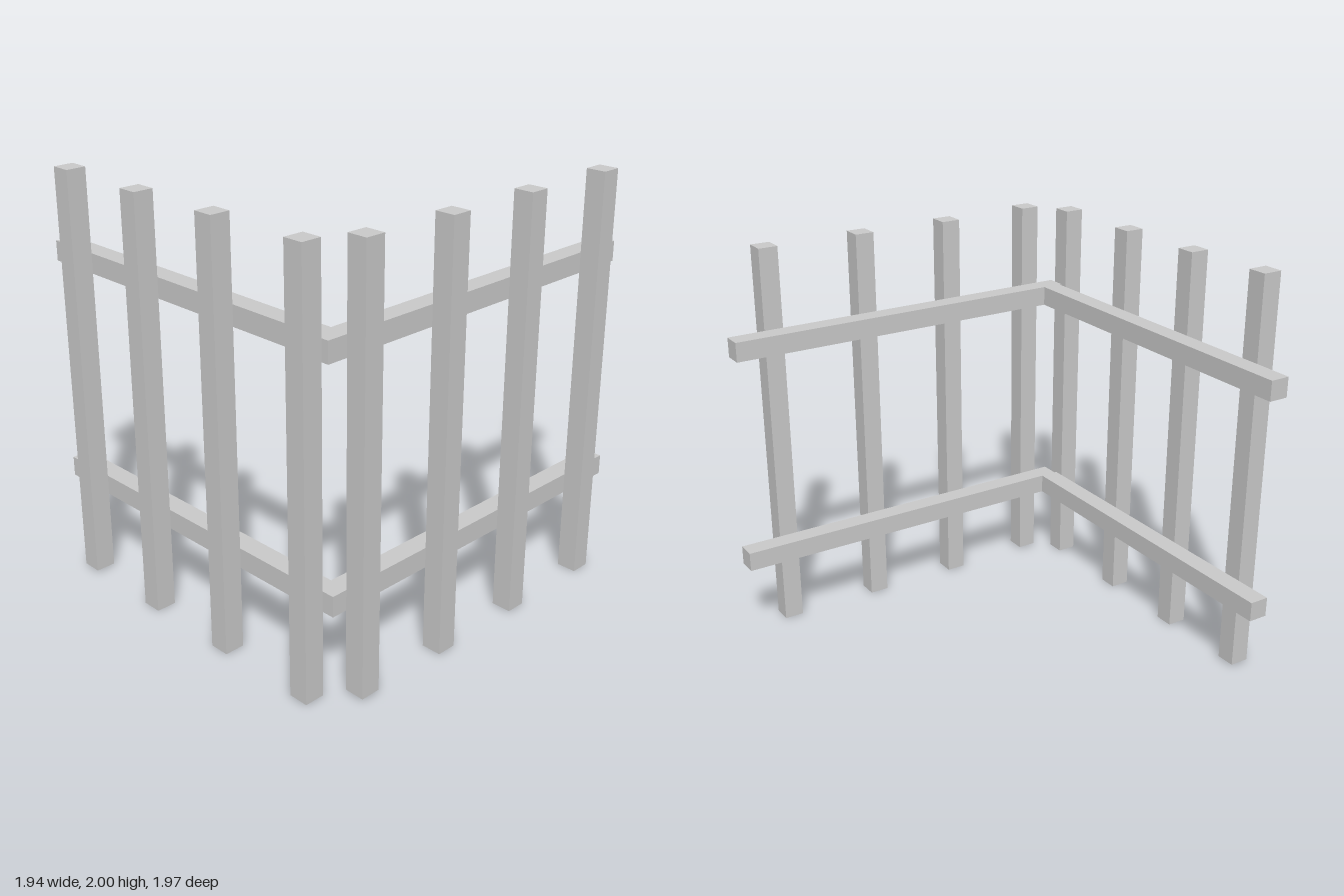
import * as THREE from 'three';

const T = 0.097; // timber thickness

export function createModel() {
  const model = new THREE.Group();
  model.name = 'cornerFence';
  const material = new THREE.MeshStandardMaterial({ color: 0xcccccc, flatShading: true });

  // Box given by its lower and upper corners
  function beam(name, min, max) {
    const size = max.map((v, i) => v - min[i]);
    const mesh = new THREE.Mesh(new THREE.BoxGeometry(...size), material);
    mesh.position.set(...min.map((v, i) => v + size[i] / 2));
    mesh.name = name;
    model.add(mesh);
  }

  // Upright post; the first of each row sits slightly higher
  function post(name, x, z, raised) {
    const y = raised ? 0.01 : 0;
    beam(name, [x - T / 2, y, z - T / 2], [x + T / 2, y + 1.99, z + T / 2]);
  }

  // Front row of posts
  [-0.708, -0.226, 0.263, 0.774].forEach((x, i) => post(`frontPost${i + 1}`, x, 0.938, i === 0));

  // Side row of posts
  [0.755, 0.272, -0.219, -0.728].forEach((z, i) => post(`sidePost${i + 1}`, 0.92, z, i === 0));

  // Upper rails, the front one butting against the side one
  beam('upperFrontRail', [-0.972, 1.498, 0.774], [0.755, 1.595, 0.871]);
  beam('upperSideRail', [0.755, 1.498, -0.972], [0.852, 1.595, 0.884]);

  // Lower rails, shifted slightly outwards
  beam('lowerFrontRail', [-0.957, 0.391, 0.787], [0.767, 0.488, 0.884]);
  beam('lowerSideRail', [0.767, 0.391, -0.987], [0.864, 0.488, 0.872]);

  return model;
}
